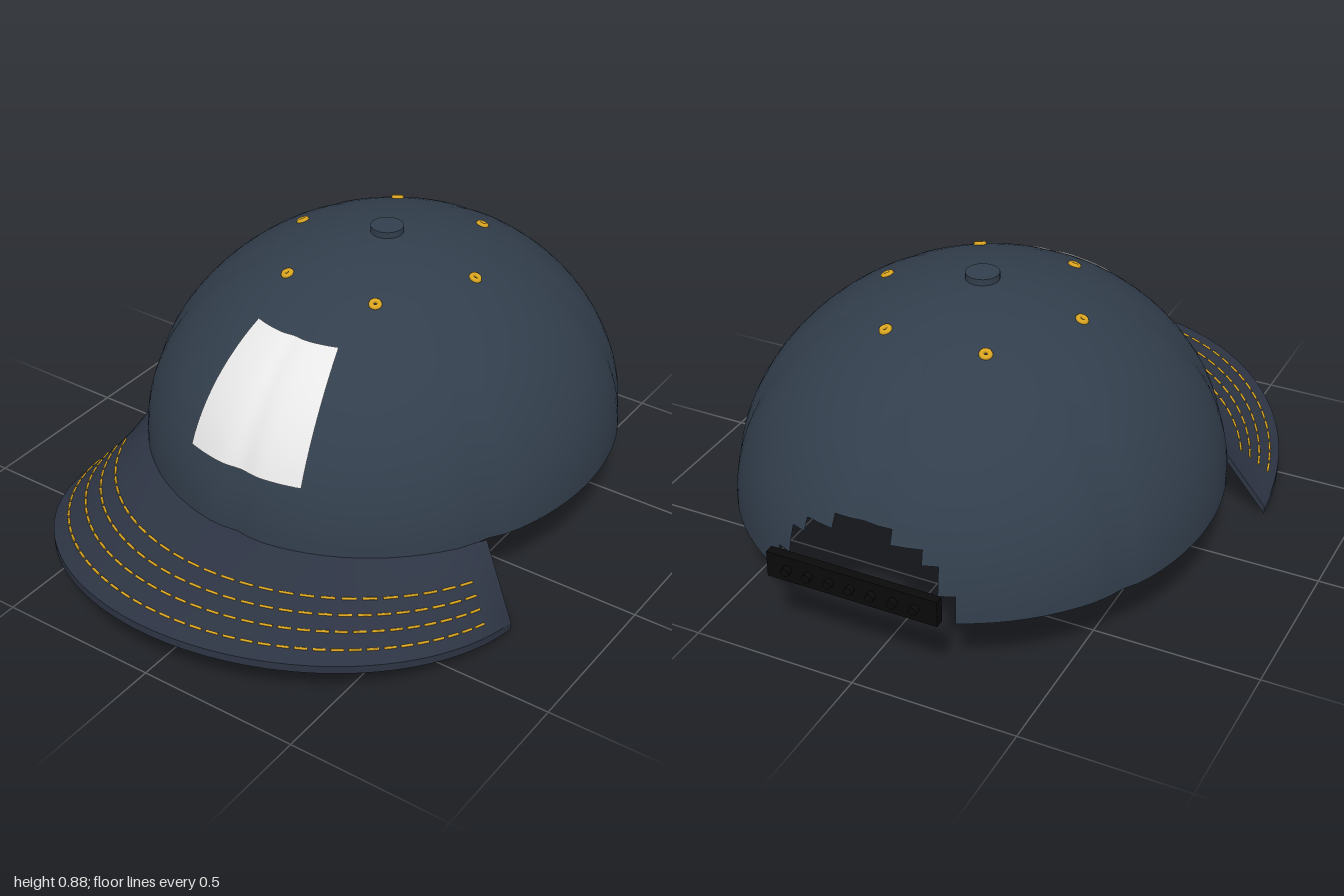
import * as THREE from 'three';
import { mergeGeometries, mergeVertices } from 'three/addons/utils/BufferGeometryUtils.js';

const { PI, sin, cos, exp } = Math;
const lerp = THREE.MathUtils.lerp;

// Crown dimensions
const BASE = 0.23, HEIGHT = 0.637, RX = 0.716, RZ = 0.775, CZ = -0.19;

// Grid surface from a rule f(u, v); cells failing keep(centre) are left out
function surface(f, nu, nv, keep = () => true) {
  const pos = [], idx = [];
  for (let j = 0; j <= nv; j++)
    for (let i = 0; i <= nu; i++) pos.push(...f(i / nu, j / nv).toArray());
  for (let j = 0; j < nv; j++)
    for (let i = 0; i < nu; i++) {
      if (!keep(f((i + 0.5) / nu, (j + 0.5) / nv))) continue;
      const a = j * (nu + 1) + i, b = a + 1, c = a + nu + 1, d = c + 1;
      idx.push(a, c, b, b, c, d);
    }
  let g = new THREE.BufferGeometry();
  g.setAttribute('position', new THREE.Float32BufferAttribute(pos, 3));
  g.setIndex(idx);
  g = mergeVertices(g, 1e-5);
  g.computeVertexNormals();
  return g;
}

// Point on the six-panel dome: a = angle around, t = elevation, k = scale
function crownPoint(a, t, k = 1) {
  const panel = PI / 3;
  const offset = (((a - PI / 6) / panel) % 1 + 1) % 1;
  const d = Math.min(offset, 1 - offset) * panel;
  const r = cos(t) * k * (1 - 0.013 * exp(-((d / 0.06) ** 2)));
  return new THREE.Vector3(RX * r * cos(a), BASE + HEIGHT * k * sin(t), CZ + RZ * r * sin(a));
}

// Point on the brim: s = right to left sweep, t = crown edge to outer edge
function brimPoint(s, t, drop = 0) {
  const a = lerp(PI * 0.172, PI * 0.828, s), p = PI * s;
  const inner = new THREE.Vector3(RX * cos(a), 0.232, CZ + 0.765 * sin(a));
  const outer = new THREE.Vector3(0.738 * cos(p), 0.17 - 0.145 * (1 - sin(p)), 0.26 + 0.74 * sin(p));
  const v = inner.lerp(outer, t);
  v.y -= drop;
  return v;
}

export function createModel() {
  const group = new THREE.Group();
  const mat = (name, color, side = THREE.FrontSide) => {
    const m = new THREE.MeshStandardMaterial({ color, side });
    m.name = name;
    return m;
  };
  const navy = mat('navy fabric', 0x323e4c, THREE.DoubleSide);
  const brimNavy = mat('brim navy', 0x2d3443, THREE.DoubleSide);
  const white = mat('white panel', 0xeeeeee, THREE.DoubleSide);
  const gold = mat('gold thread', 0xdaa520);
  const black = mat('black plastic', 0x0a0a0a);
  const add = (name, geo, material, x = 0, y = 0, z = 0) => {
    const m = new THREE.Mesh(geo, material);
    m.name = name;
    m.position.set(x, y, z);
    group.add(m);
    return m;
  };

  // Crown with stepped arch opening at the back
  const outsideArch = p => p.z > 0 || (p.x / 0.262) ** 2 + ((p.y - BASE) / 0.235) ** 2 > 1;
  add('crown', surface((u, v) => crownPoint(u * 2 * PI, v * PI / 2), 96, 24, outsideArch), navy);

  // Top button
  add('button', new THREE.CylinderGeometry(0.05, 0.05, 0.03, 24), navy, 0, 0.87, CZ);

  // Front panel patch following the dome
  add('frontPatch', surface((u, v) => {
    const t = lerp(0.312, 0.915, v), half = lerp(0.287, 0.325, v);
    return crownPoint(PI / 2 + lerp(-half, half, u), t, 1.006);
  }, 24, 12), white);

  // Eyelets, one in each panel
  for (let i = 0; i < 6; i++) {
    const a = i * PI / 3, t = 1.125;
    const p = crownPoint(a, t, 1.002);
    const n = new THREE.Vector3(p.x / RX ** 2, (p.y - BASE) / HEIGHT ** 2, (p.z - CZ) / RZ ** 2).normalize();
    const e = add('eyelet', new THREE.TorusGeometry(0.012, 0.008, 8, 16), gold, p.x, p.y, p.z);
    e.quaternion.setFromUnitVectors(new THREE.Vector3(0, 0, 1), n);
  }

  // Brim: top, underside, outer rim, inner rim and both ends
  const THICK = 0.025;
  add('brim', mergeGeometries([
    surface((u, v) => brimPoint(u, v), 64, 8),
    surface((u, v) => brimPoint(u, v, THICK), 64, 8),
    surface((u, v) => brimPoint(u, 1, v * THICK), 64, 1),
    surface((u, v) => brimPoint(u, 0, v * THICK), 64, 1),
    surface((u, v) => brimPoint(0, u, v * THICK), 8, 1),
    surface((u, v) => brimPoint(1, u, v * THICK), 8, 1),
  ]), brimNavy);

  // Dashed stitching rows, with small knots below
  const stitches = [], knots = [];
  const up = new THREE.Vector3(0, 1, 0);
  [0.4, 0.55, 0.7, 0.86].forEach((t, row) => {
    const count = 28 + row * 4;
    for (let i = 0; i < count; i++) {
      const s0 = lerp(0.05, 0.95, i / count), s1 = lerp(0.05, 0.95, (i + 0.72) / count);
      const a = brimPoint(s0, t), b = brimPoint(s1, t);
      const dir = b.clone().sub(a);
      const g = new THREE.CylinderGeometry(0.004, 0.004, dir.length(), 6);
      g.applyQuaternion(new THREE.Quaternion().setFromUnitVectors(up, dir.normalize()));
      const mid = a.add(b).multiplyScalar(0.5);
      stitches.push(g.translate(mid.x, mid.y + 0.001, mid.z));
      const k = brimPoint(s0, t, THICK);
      knots.push(new THREE.SphereGeometry(0.004, 6, 4).translate(k.x, k.y, k.z));
    }
  });
  add('brimStitching', mergeGeometries(stitches), gold);
  add('undersideKnots', mergeGeometries(knots), gold);

  // Rear adjustment strap with pegs
  add('strap', new THREE.BoxGeometry(0.52, 0.08, 0.028), black, 0, 0.308, -0.969);
  for (let i = -3; i <= 3; i++) {
    const peg = add('strapPeg', new THREE.CylinderGeometry(0.013, 0.013, 0.02, 12), black, i * 0.065, 0.308, -0.99);
    peg.rotation.x = PI / 2;
  }

  return group;
}
